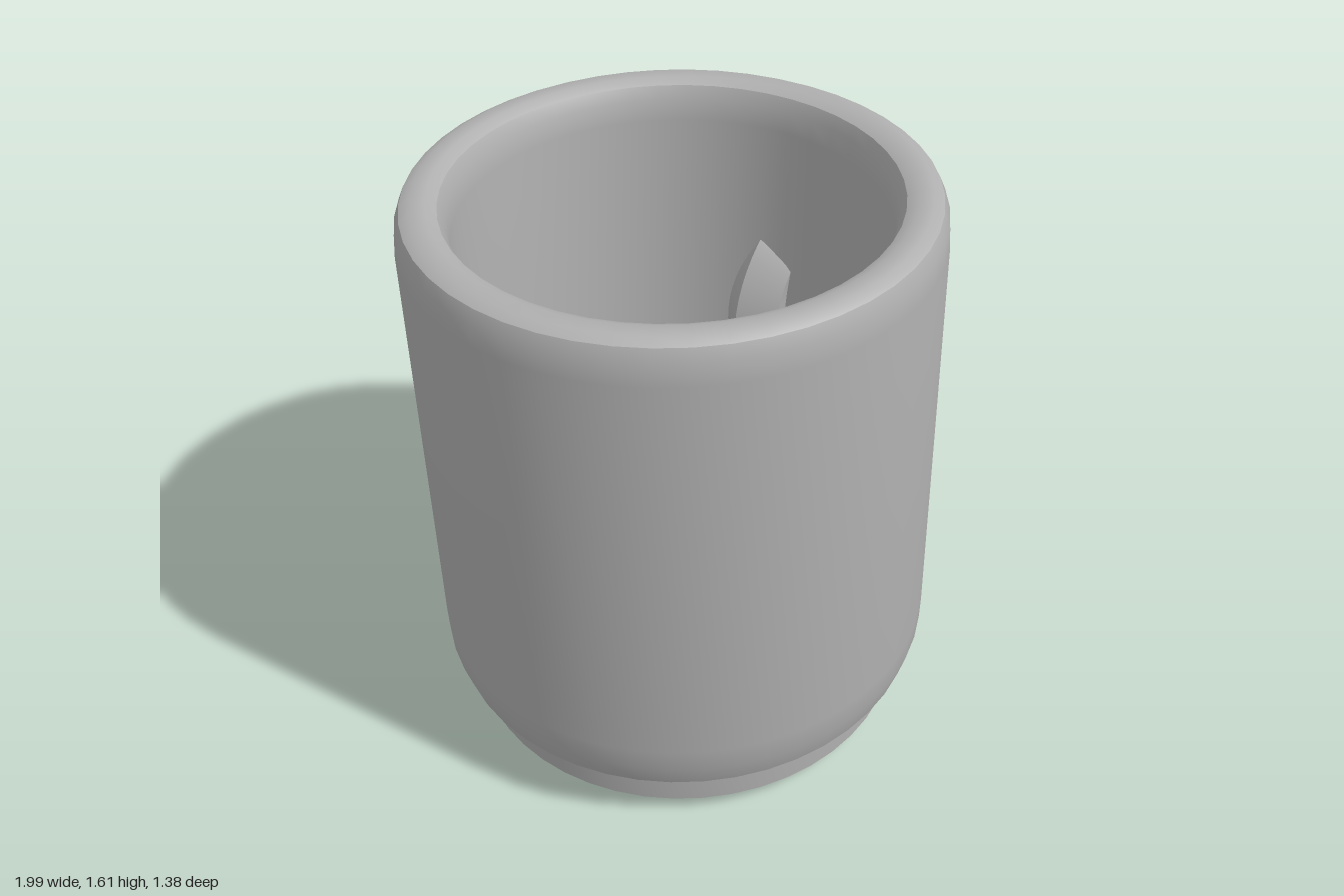
import * as THREE from 'three';
import { toCreasedNormals } from 'three/addons/utils/BufferGeometryUtils.js';

export function createModel() {
  const group = new THREE.Group();
  group.name = 'mug';
  const glaze = new THREE.MeshStandardMaterial({ color: 0xb0b0b0 });
  glaze.name = 'grey glaze';

  const add = (name, geometry, x, y, z) => {
    const mesh = new THREE.Mesh(toCreasedNormals(geometry, 0.5), glaze);
    mesh.name = name;
    mesh.position.set(x, y, z);
    group.add(mesh);
    return mesh;
  };

  // Hollow cup: underside, stepped foot, wall, rounded rim, inner wall, floor
  const profile = [
    [0, 0], [0.58, 0.016], [0.615, 0.05], [0.615, 0.155],
    [0.645, 0.157], [0.668, 0.18], [0.688, 0.25],
    [0.69, 0.32], [0.69, 1.5], [0.685, 1.56], [0.671, 1.594], [0.645, 1.608],
    [0.605, 1.608], [0.578, 1.594], [0.562, 1.56], [0.555, 1.5],
    [0.555, 0.25], [0.53, 0.21], [0, 0.2],
  ].map(([r, y]) => new THREE.Vector2(r, y));
  add('cup', new THREE.LatheGeometry(profile, 48), -0.31, 0, 0);

  // Ring handle with a five-sided section, turned slightly and sunk through the wall
  const handle = add('handle', new THREE.TorusGeometry(0.339, 0.101, 5, 64), 0.553, 0.85, -0.125);
  handle.rotation.y = -0.08;

  return group;
}
